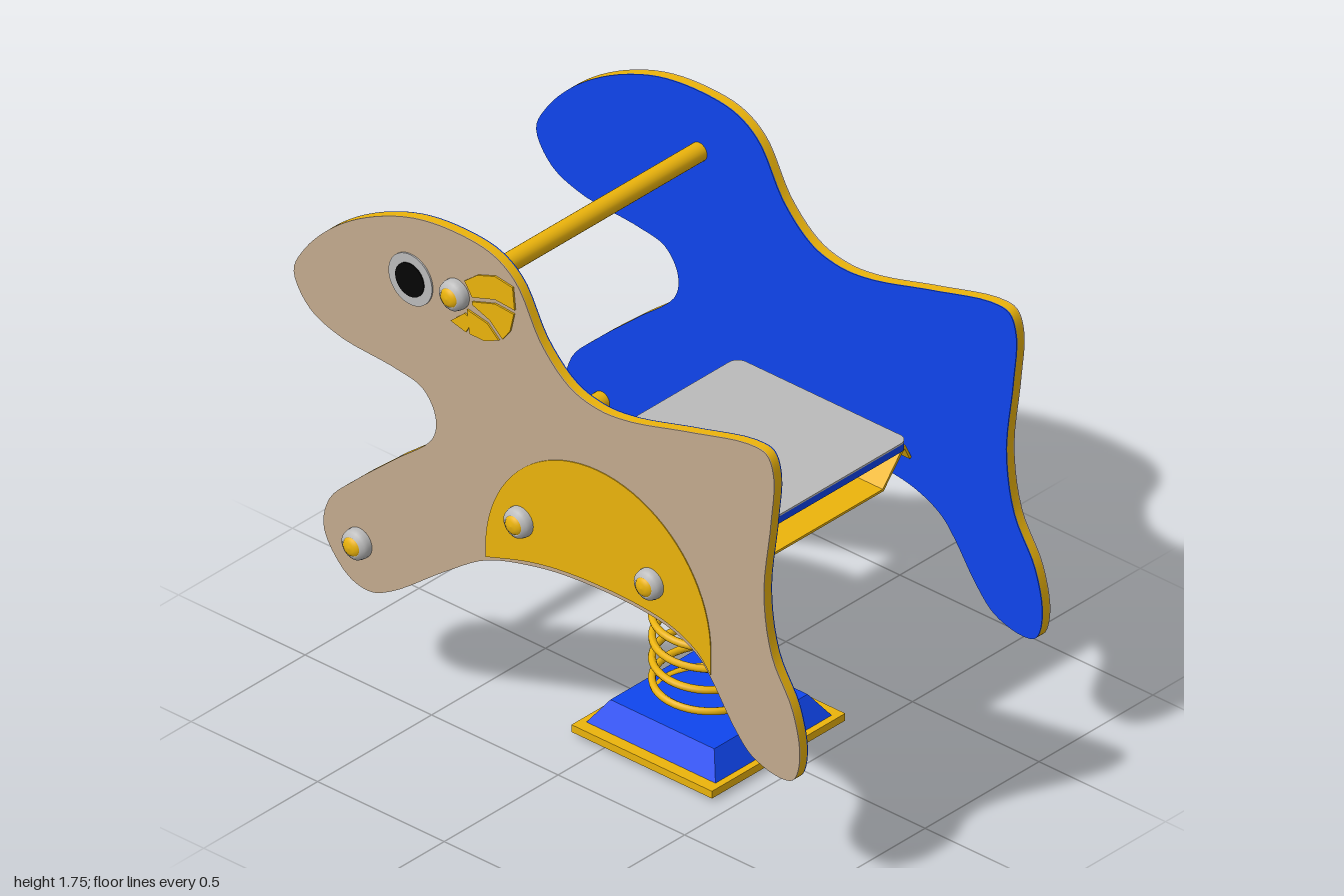
import * as THREE from 'three';
import { toCreasedNormals } from 'three/addons/utils/BufferGeometryUtils.js';

const paint = (color) => new THREE.MeshStandardMaterial({ color, side: THREE.DoubleSide });
const TAN = paint(0xc4ab8e), YELLOW = paint(0xecb40c), BLUE = paint(0x0f45ee);
const GREY = paint(0xbbbbbb), BLACK = paint(0x050505);

const v2 = ([x, y]) => new THREE.Vector2(x, y);

function smooth(points, closed, divisions) {
  const curve = new THREE.CatmullRomCurve3(
    points.map(([x, y]) => new THREE.Vector3(x, y, 0)), closed, 'centripetal');
  const out = curve.getPoints(divisions).map((p) => new THREE.Vector2(p.x, p.y));
  if (closed) out.pop();
  return out;
}

function add(parent, name, geometry, material, x = 0, y = 0, z = 0) {
  const mesh = new THREE.Mesh(geometry, material);
  mesh.name = name;
  mesh.position.set(x, y, z);
  parent.add(mesh);
  return mesh;
}

// Flat sheet between two z depths
function sheet(parent, name, shape, za, zb, material) {
  const geo = new THREE.ExtrudeGeometry(shape, { depth: Math.abs(zb - za), bevelEnabled: false, curveSegments: 24 });
  return add(parent, name, toCreasedNormals(geo, 0.6), material, 0, 0, Math.min(za, zb));
}

const belly = [[0.65, 0.625], [0.6, 0.68], [0.5, 0.728], [0.35, 0.75], [0.1, 0.745], [-0.06, 0.72], [-0.24, 0.665]];

const outline = [
  [-1, 1.35], [-0.96, 1.44], [-0.85, 1.56], [-0.7, 1.66], [-0.52, 1.73], [-0.35, 1.748], [-0.21, 1.73],
  [-0.12, 1.67], [-0.02, 1.5], [0.09, 1.4], [0.2, 1.37], [0.32, 1.378], [0.56, 1.44], [0.8, 1.497],
  [0.87, 1.488], [0.897, 1.42], [0.885, 1.25], [0.858, 1], [0.89, 0.8], [0.97, 0.65], [1, 0.5],
  [0.975, 0.41], [0.92, 0.395], [0.81, 0.425], [0.74, 0.495], ...belly,
  [-0.4, 0.56], [-0.61, 0.405], [-0.7, 0.367], [-0.79, 0.39], [-0.88, 0.51], [-0.86, 0.62], [-0.76, 0.725],
  [-0.6, 0.865], [-0.45, 1], [-0.44, 1.08], [-0.49, 1.155], [-0.6, 1.18], [-0.82, 1.2], [-0.94, 1.25],
];

const earPieces = [
  [[-0.32, 1.6], [-0.27, 1.64], [-0.2, 1.665], [-0.13, 1.655], [-0.122, 1.58], [-0.2, 1.585], [-0.29, 1.555]],
  [[-0.29, 1.54], [-0.2, 1.57], [-0.125, 1.565], [-0.14, 1.5], [-0.17, 1.46], [-0.22, 1.505], [-0.29, 1.53]],
  [[-0.31, 1.505], [-0.23, 1.49], [-0.185, 1.45], [-0.24, 1.425], [-0.3, 1.425]],
  [[-0.375, 1.44], [-0.315, 1.425], [-0.285, 1.475], [-0.32, 1.488]],
];

const bolts = [[-0.74, 0.52], [-0.355, 1.54], [-0.1, 0.86], [0.415, 0.86]];

// One side of the animal, s = 1 front, s = -1 back
function createSide(s) {
  const side = new THREE.Group();
  side.name = s > 0 ? 'frontSide' : 'backSide';
  const body = new THREE.Shape(smooth(outline, true, 220));
  sheet(side, 'panelInnerFace', body, s * 0.514, s * 0.518, BLUE);
  sheet(side, 'panelCore', body, s * 0.518, s * 0.546, YELLOW);
  sheet(side, 'panelOuterFace', body, s * 0.546, s * 0.55, TAN);

  // Saddle: half disc closed by the belly curve
  const arc = [];
  for (let i = 0; i <= 40; i++) {
    const a = Math.PI * (1 - i / 40);
    arc.push(new THREE.Vector2(0.205 + 0.445 * Math.cos(a), 0.715 + 0.445 * Math.sin(a)));
  }
  const lower = smooth(belly.map(([x, y]) => [x, y + 0.014]), false, 40);
  sheet(side, 'saddle', new THREE.Shape([...arc, ...lower]), s * 0.55, s * 0.553, YELLOW);

  earPieces.forEach((p) => sheet(side, 'earMark', new THREE.Shape(p.map(v2)), s * 0.55, s * 0.556, YELLOW));

  // Eye discs
  [['eyeRing', 0.086, 0.555, GREY], ['pupil', 0.056, 0.559, BLACK]].forEach(([name, r, z, mat]) => {
    const disc = new THREE.Shape().absarc(-0.535, 1.515, r, 0, Math.PI * 2);
    sheet(side, name, disc, s * 0.55, s * z, mat);
  });

  // Domed bolt covers with coloured caps
  const dome = [[0.05, 0], [0.05, 0.014], [0.046, 0.028], [0.033, 0.038], [0.031, 0.036]].map(v2);
  const cap = [[0.032, 0.034], [0.028, 0.041], [0.016, 0.046], [0, 0.048]].map(v2);
  bolts.forEach(([x, y]) => {
    [['boltCover', dome, GREY], ['boltCap', cap, YELLOW]].forEach(([name, profile, mat]) => {
      add(side, name, new THREE.LatheGeometry(profile, 24), mat, x, y, s * 0.55).rotation.x = s * Math.PI / 2;
    });
  });
  return side;
}

function createSeat() {
  const seat = new THREE.Group();
  seat.name = 'seat';
  const hx = 0.34, hz = 0.485, r = 0.035;
  const plan = new THREE.Shape();
  plan.absarc(hx - r, hz - r, r, 0, Math.PI / 2);
  plan.absarc(-hx + r, hz - r, r, Math.PI / 2, Math.PI);
  plan.absarc(-hx + r, -hz + r, r, Math.PI, Math.PI * 1.5);
  plan.absarc(hx - r, -hz + r, r, Math.PI * 1.5, Math.PI * 2);
  [['seatBase', 0.885, 0.909, BLUE], ['seatTop', 0.909, 0.915, GREY]].forEach(([name, a, b, mat]) => {
    const board = sheet(seat, name, plan, a, b, mat);
    board.rotation.x = -Math.PI / 2;
    board.position.set(0.16, a, 0);
  });

  // Folded sheet-metal bracket, swept along x
  const half = [[0.39, 0.772], [0.482, 0.876], [0.505, 0.83], [0.512, 0.834], [0.486, 0.887], [0.476, 0.885], [0.386, 0.78]];
  const mirrored = half.map(([z, y]) => [-z, y]).reverse();
  const bracket = sheet(seat, 'seatBracket', new THREE.Shape([...half, ...mirrored].map(v2)), 0, 0.66, YELLOW);
  bracket.rotation.y = Math.PI / 2;
  bracket.position.set(-0.175, 0, 0);
  return seat;
}

function createBase() {
  const base = new THREE.Group();
  base.name = 'springBase';
  add(base, 'groundPlate', new THREE.BoxGeometry(0.555, 0.025, 0.585), YELLOW, 0.157, 0.0225, 0.015);
  const pedestal = new THREE.CylinderGeometry(0.205 * Math.SQRT2, 0.255 * Math.SQRT2, 0.075, 4, 1).toNonIndexed();
  pedestal.rotateY(Math.PI / 4);
  pedestal.computeVertexNormals();
  add(base, 'pedestal', pedestal, BLUE, 0.157, 0.0725, 0.012);

  // Coil spring
  const turns = 10.25, coil = [];
  for (let i = 0; i <= turns * 24; i++) {
    const t = (i / 24) * Math.PI * 2;
    coil.push(new THREE.Vector3(0.14 - 0.155 * Math.sin(t), 0.012 + 0.75 * i / (turns * 24), 0.012 + 0.155 * Math.cos(t)));
  }
  add(base, 'spring', new THREE.TubeGeometry(new THREE.CatmullRomCurve3(coil), 420, 0.012, 8), YELLOW);
  return base;
}

export function createModel() {
  const model = new THREE.Group();
  model.name = 'springRocker';
  model.add(createSide(1), createSide(-1), createSeat(), createBase());

  // Foot rest and hand grip bars between the sides
  ['footBar', 'handBar'].forEach((name, i) => {
    const bar = new THREE.CylinderGeometry(0.031, 0.031, 1.04, 24);
    add(model, name, bar, YELLOW, bolts[i][0], bolts[i][1], 0).rotation.x = Math.PI / 2;
  });
  return model;
}
